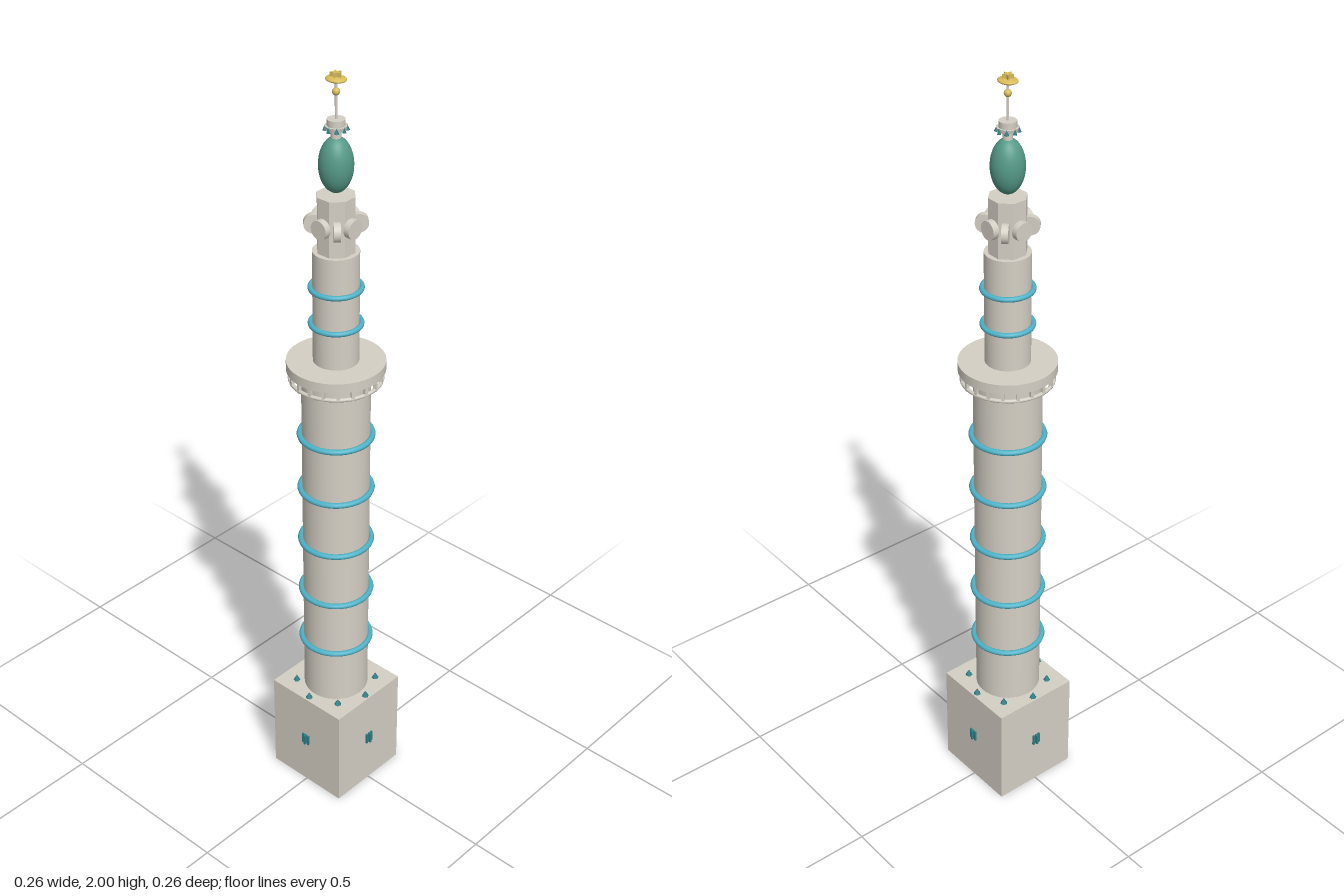
import * as THREE from 'three';

const mat = (color) => new THREE.MeshStandardMaterial({ color });
const stone = mat(0xd4cfc4), blue = mat(0x4fb3c8), teal = mat(0x2f7f86), green = mat(0x559a88), gold = mat(0xd9bc5a);
const facetStone = mat(0xd4cfc4);
facetStone.flatShading = true;

export function createModel() {
  const model = new THREE.Group();

  const add = (name, geometry, material, x = 0, y = 0, z = 0, parent = model) => {
    const mesh = new THREE.Mesh(geometry, material);
    mesh.name = name;
    mesh.position.set(x, y, z);
    parent.add(mesh);
    return mesh;
  };
  // upright round part between two heights
  const drum = (name, rBottom, rTop, y0, y1, material, sides = 48) =>
    add(name, new THREE.CylinderGeometry(rTop, rBottom, y1 - y0, sides), material, 0, (y0 + y1) / 2);
  const hoop = (name, radius, tube, y, material) => {
    add(name, new THREE.TorusGeometry(radius, tube, 10, 48), material, 0, y).rotation.x = Math.PI / 2;
  };
  // repeat a part around the vertical axis
  const around = (count, offset, make) => {
    for (let i = 0; i < count; i++) {
      const spoke = new THREE.Group();
      spoke.rotation.y = offset + (i / count) * Math.PI * 2;
      model.add(spoke);
      make(spoke, i);
    }
  };

  // square base with a small window on each side
  add('base', new THREE.BoxGeometry(0.238, 0.283, 0.238), stone, 0, 0.1415);
  around(4, 0, (side) => {
    side.name = 'baseWindow';
    add('windowPane', new THREE.BoxGeometry(0.018, 0.026, 0.004), teal, 0, 0.145, 0.12, side);
    for (const x of [-0.009, 0, 0.009])
      add('windowBar', new THREE.BoxGeometry(0.005, 0.03, x ? 0.007 : 0.013), teal, x, 0.145, x ? 0.1205 : 0.1215, side);
  });
  around(8, 0, (spoke) => {
    add('baseCrest', new THREE.ConeGeometry(0.01, 0.018, 6), teal, 0, 0.291, 0.106, spoke);
  });

  // main shaft with its bands
  drum('mainShaft', 0.085, 0.085, 0.28, 1.257, stone);
  for (let i = 0; i < 5; i++) hoop('shaftBand', 0.09, 0.0075, 0.442 + i * 0.157, blue);

  // balcony: slab on a ring of short posts
  drum('balconySlab', 0.121, 0.121, 1.255, 1.28, stone, 64);
  hoop('balconyRail', 0.112, 0.005, 1.231, stone);
  around(20, Math.PI / 20, (spoke) => {
    add('balconyPost', new THREE.BoxGeometry(0.008, 0.03, 0.008), stone, 0, 1.242, 0.112, spoke);
  });

  // upper shaft
  drum('upperShaft', 0.056, 0.056, 1.28, 1.57, stone);
  for (const y of [1.38, 1.475]) hoop('upperBand', 0.061, 0.0065, y, blue);

  // eight-sided lantern; its discs alternate between facing out and edge-on
  drum('lantern', 0.047, 0.047, 1.57, 1.71, facetStone, 8).rotation.y = Math.PI / 8;
  around(8, 0, (spoke, i) => {
    const disc = add('lanternDisc', new THREE.CylinderGeometry(0.0235, 0.0235, 0.016, 24), stone, 0, 1.64, 0.052, spoke);
    disc.rotation.set(Math.PI / 2, 0, i % 2 ? Math.PI / 2 : 0);
  });

  // dome
  add('dome', new THREE.SphereGeometry(0.041, 40, 28), green, 0, 1.783).scale.y = 1.65;

  // collar with pointed ornaments
  drum('collarNeck', 0.012, 0.012, 1.84, 1.872, stone, 20);
  drum('collarBase', 0.024, 0.026, 1.868, 1.877, stone, 32);
  drum('collarTop', 0.021, 0.021, 1.877, 1.892, stone, 32);
  around(8, 0, (spoke) => {
    add('collarOrnament', new THREE.ConeGeometry(0.006, 0.014, 4), teal, 0, 1.872, 0.025, spoke);
  });

  // finial
  drum('finialStem', 0.003, 0.003, 1.89, 1.982, stone, 12);
  add('finialBall', new THREE.SphereGeometry(0.009, 20, 14), gold, 0, 1.955);
  const disc = add('finialDisc', new THREE.SphereGeometry(0.025, 32, 16), gold, 0, 1.984);
  disc.scale.set(1.04, 0.26, 0.88);
  const star = new THREE.Shape();
  for (let i = 0; i < 10; i++) {
    const r = i % 2 ? 0.006 : 0.014, a = (i / 10) * Math.PI * 2;
    star[i ? 'lineTo' : 'moveTo'](r * Math.cos(a), r * Math.sin(a));
  }
  star.closePath();
  const starMesh = add('finialStar', new THREE.ExtrudeGeometry(star, { depth: 0.012, bevelEnabled: false }), gold, 0, 1.988);
  starMesh.rotation.x = -Math.PI / 2;

  return model;
}
